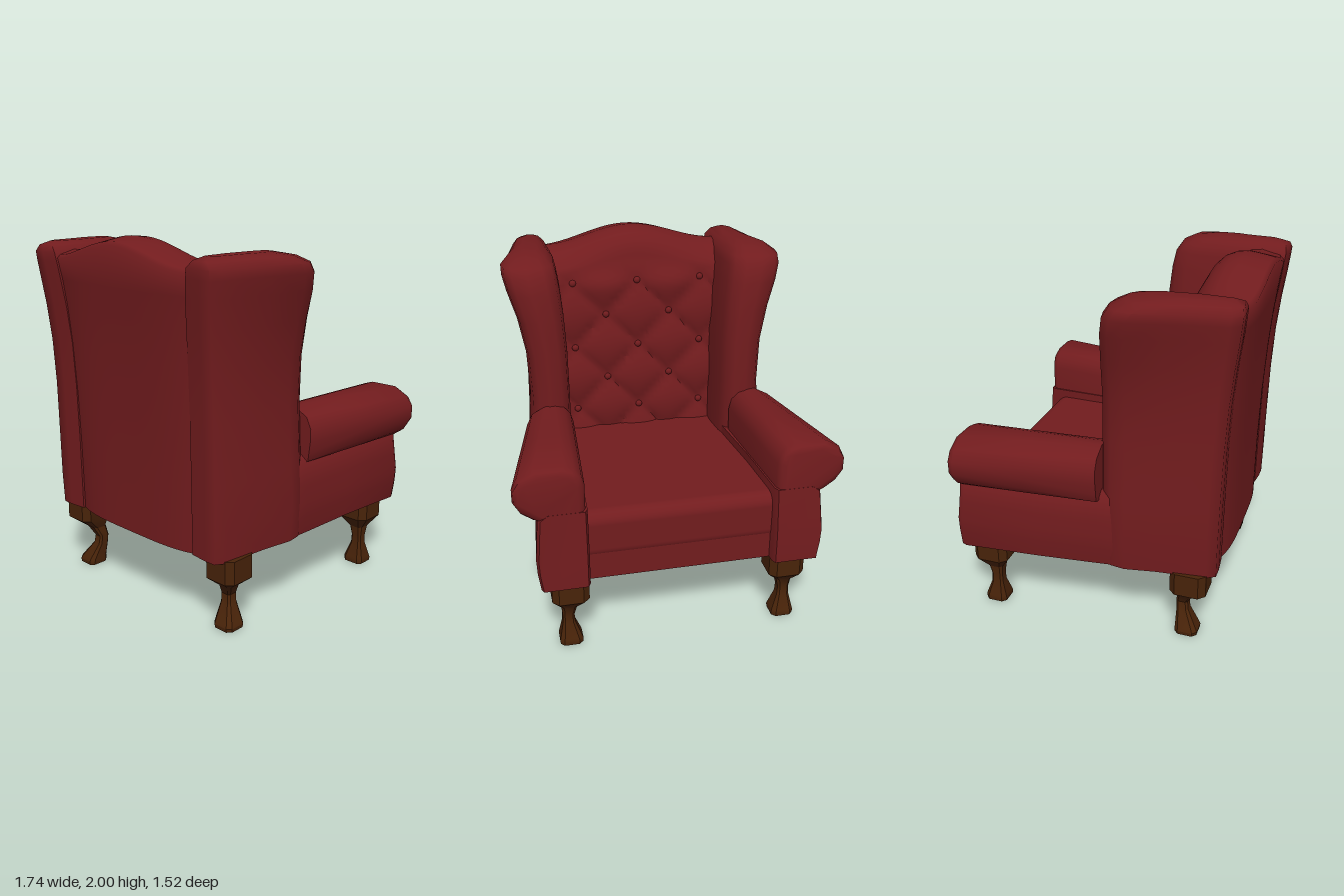
import * as THREE from 'three';
import { toCreasedNormals } from 'three/addons/utils/BufferGeometryUtils.js';
import { RoundedBoxGeometry } from 'three/addons/geometries/RoundedBoxGeometry.js';

const lerp = THREE.MathUtils.lerp, smoothstep = THREE.MathUtils.smoothstep;

// Closed solid through equal-length rings of [x, y, z]; winding is fixed by its signed volume
function loft(rings, crease = 1) {
  const n = rings[0].length, pos = rings.flat(2), idx = [];
  for (let r = 0; r < rings.length - 1; r++) {
    for (let i = 0; i < n; i++) {
      const a = r * n + i, b = r * n + (i + 1) % n;
      idx.push(a, b, a + n, b, b + n, a + n);
    }
  }
  // end caps
  const cap = (ring, start, flip) => {
    const pts = ring.map(p => new THREE.Vector3(...p));
    const normal = new THREE.Vector3();
    pts.forEach((p, i) => normal.add(p.clone().cross(pts[(i + 1) % n])));
    const k = ['x', 'y', 'z'].reduce((m, c) => Math.abs(normal[c]) > Math.abs(normal[m]) ? c : m, 'x');
    const [u, v] = { x: ['y', 'z'], y: ['z', 'x'], z: ['x', 'y'] }[k];
    const flat = pts.map(p => new THREE.Vector2(p[u], p[v]));
    const turned = THREE.ShapeUtils.area(flat) < 0;
    if (turned) flat.reverse();
    for (const f of THREE.ShapeUtils.triangulateShape(flat, [])) {
      const t = f.map(i => start + (turned ? n - 1 - i : i));
      if (turned !== flip) t.reverse();
      idx.push(...t);
    }
  };
  cap(rings[0], 0, true);
  cap(rings[rings.length - 1], (rings.length - 1) * n, false);
  let volume = 0;
  const at = i => new THREE.Vector3(pos[3 * i], pos[3 * i + 1], pos[3 * i + 2]);
  for (let i = 0; i < idx.length; i += 3) volume += at(idx[i]).dot(at(idx[i + 1]).cross(at(idx[i + 2])));
  if (volume < 0) idx.reverse();
  const g = new THREE.BufferGeometry();
  g.setAttribute('position', new THREE.Float32BufferAttribute(pos, 3));
  g.setIndex(idx);
  return toCreasedNormals(g, crease);
}

// Wing: horizontal sections running from the base up to the rounded top
function wingRings(s, dx) {
  // y, inner x, outer x at front, outer x at rear, front z, rear z
  const rows = [
    [0.42, 0.45, 0.705, 0.645, 0.03, 0.665], [0.6, 0.45, 0.715, 0.655, 0.03, 0.667],
    [0.83, 0.45, 0.7, 0.655, 0.03, 0.67], [1.15, 0.452, 0.674, 0.652, 0.025, 0.677],
    [1.4, 0.455, 0.684, 0.655, 0.03, 0.69], [1.6, 0.466, 0.722, 0.665, 0.035, 0.71],
    [1.75, 0.48, 0.768, 0.677, 0.047, 0.73], [1.84, 0.493, 0.789, 0.687, 0.065, 0.74],
    [1.89, 0.503, 0.789, 0.69, 0.1, 0.745], [1.925, 0.535, 0.74, 0.665, 0.17, 0.735],
    [1.945, 0.57, 0.66, 0.63, 0.28, 0.69],
  ];
  return rows.map(([y, xi, xf, xr, zf, zr]) => {
    const w = xf - xi;
    return [
      [xi, zr - 0.01], [lerp(xi, xr, 0.5), zr], [xr - 0.03, zr], [xr, zr - 0.05],
      [lerp(xr, xf, 0.5), lerp(zr, zf, 0.5)], [xf, zf + 0.15], [xf - 0.04 * w, zf + 0.07],
      [xf - 0.17 * w, zf + 0.02], [xf - 0.45 * w, zf], [xi + 0.25 * w, zf + 0.01],
      [xi + 0.07 * w, zf + 0.045], [xi, zf + 0.11], [xi - 0.012, zf + 0.25],
    ].map(([x, z]) => [s * x + dx, y, z]);
  });
}

// Rolled arm: flares outwards towards the front, with a softened end
function armRings(s) {
  return [[0.04, 0], [-0.35, 0], [-0.7, 0], [-0.727, 0.012], [-0.737, 0.035]].map(([z, e]) => {
    const t = (0.05 - z) / 0.78, xo = lerp(0.728, 0.878, t) - e, xi = lerp(0.465, 0.51, t) + e;
    return [
      [xi, 0.78], [xi, 1.0], [xi + 0.015, 1.055], [xi + 0.05, 1.095 - e], [xi + 0.1, 1.112 - e],
      [xo - 0.11, 1.112 - e], [xo - 0.03, 1.07 - e], [xo, 1.01], [xo, 0.94],
      [xo - lerp(0.008, 0.04, t), 0.87 + e], [xo - lerp(0.012, 0.1, t), 0.828 + e], [xi + 0.1, 0.78],
    ].map(([x, y]) => [s * x, y, z]);
  });
}

// Side panel below the arm, bulging at mid height and running flush into the wing
function sideRings(s, dx) {
  // z, outer x, end inset, forward bulge
  const rows = [[0.3, 0.65, 0, 0], [0.17, 0.7, 0, 0], [0.05, 0.712, 0, 0], [-0.3, 0.738, 0, 0],
    [-0.71, 0.774, 0, 0.022], [-0.738, 0.762, 0.012, 0.022]];
  return rows.map(([z, xo, e, out]) => {
    const xi = lerp(0.45, 0.5, (0.3 - z) / 1.04) + e, shift = dx * smoothstep(z, -0.4, 0.17);
    return [
      [xi, 0.42, z - out], [xi, 0.6, z - out], [xi, 0.86, z], [xo - 0.06, 0.86, z], [xo - 0.02, 0.83, z],
      [xo - 0.008, 0.7, z - out / 2], [xo, 0.6, z - out], [xo - 0.004, 0.52, z - out], [xo - 0.018, 0.42, z - out],
    ].map(([x, y, zz]) => [s * x + shift, y, zz]);
  });
}

// Leaning front of the backrest before tufting
const frontZ = y => lerp(0.372, 0.395, smoothstep(y, 0.9, 1.67)) + 0.055 * smoothstep(y, 1.66, 1.92);

// Tufted front; buttons sit where both diagonals cross
const tuft = { x: 0.19, y: 0.195, base: 0.935 };
function tuftZ(x, y) {
  const u = x / tuft.x, v = (y - tuft.base) / tuft.y;
  const pillow = Math.sqrt(Math.abs(Math.sin(Math.PI * (u + v) / 2) * Math.sin(Math.PI * (u - v) / 2)));
  const fade = smoothstep(y, 1.69, 1.8);
  return frontZ(y) - 0.04 * lerp(pillow, 0.5, fade);
}

// Backrest: upright sections swept across the width, with an arched top
function backRings(dx) {
  const rings = [];
  for (let i = 0; i <= 40; i++) {
    const u = i / 20 - 1;
    const top = 1.87 + 0.1 * (0.5 + 0.5 * Math.cos(Math.PI * u));
    const b = 0.045 * u ** 4;
    const p = [[0.42, 0.683 - b], [0.8, 0.685 - b], [1.1, 0.692 - b], [1.4, 0.708 - b], [1.6, 0.724 - b],
      [1.75, 0.742 - b], [top - 0.01, 0.76 - b], [top + 0.008, 0.74 - b], [top + 0.03, 0.6], [top + 0.024, 0.54],
      [top + 0.002, 0.49], [top - 0.035, 0.452]];
    const start = top - 0.08;
    for (let k = 0; k <= 36; k++) {
      const y = lerp(start, 0.74, k / 36);
      p.push([y, tuftZ(u * 0.49, y)]);
    }
    p.push([0.42, 0.4]);
    rings.push(p.map(([y, z]) => [u * lerp(0.46, 0.518, (y - 0.42) / 1.45) + dx, y, z]));
  }
  return rings;
}

// Cabriole leg: chamfered square sections; bx, bz shift the ankle
function legRings(cx, cz, bx, bz) {
  const rows = [[0.43, 0.1, 0], [0.3, 0.1, 0], [0.23, 0.043, 0.6], [0.17, 0.032, 1], [0.12, 0.034, 0.9],
    [0.035, 0.06, 0.3], [0.02, 0.064, 0.25], [0, 0.062, 0.25]];
  return rows.map(([y, h, t]) => {
    const c = h * 0.65, x = cx + bx * t, z = cz + bz * t;
    return [[h, c], [c, h], [-c, h], [-h, c], [-h, -c], [-c, -h], [c, -h], [h, -c]]
      .map(([a, b]) => [x + a, y, z + b]);
  });
}

export function createModel() {
  const chair = new THREE.Group();
  chair.name = 'wingArmchair';
  const leather = new THREE.MeshStandardMaterial({ name: 'dark red leather', color: 0x721c1e });
  const wood = new THREE.MeshStandardMaterial({ name: 'dark brown wood', color: 0x482309 });
  const add = (name, geometry, material, x = 0, y = 0, z = 0) => {
    const m = new THREE.Mesh(geometry, material);
    m.name = name;
    m.position.set(x, y, z);
    chair.add(m);
    return m;
  };
  const dx = 0.018; // the back sits slightly off centre

  // Mirrored sides and legs
  for (const [s, side] of [[1, 'left'], [-1, 'right']]) {
    add(side + 'Wing', loft(wingRings(s, dx), 1.2), leather);
    add(side + 'Arm', loft(armRings(s)), leather);
    add(side + 'SidePanel', loft(sideRings(s, dx)), leather);
    add(side + 'FrontLeg', loft(legRings(s * 0.602, -0.63, s * 0.012, 0.012), 0.5), wood);
    add(side + 'RearLeg', loft(legRings(s * 0.58 + dx, 0.52, -s * 0.05, -0.053), 0.5), wood);
  }

  // Base and seat
  add('seatBase', new THREE.BoxGeometry(1.04, 0.18, 1.32), leather, 0, 0.51, -0.03);
  add('seatCushion', new RoundedBoxGeometry(1.12, 0.28, 1.16, 5, 0.07), leather, 0, 0.672, -0.117);

  // Backrest with its buttons
  add('backrest', loft(backRings(dx)), leather);
  const button = new THREE.SphereGeometry(0.02, 12, 8);
  for (let row = 0; row < 5; row++) {
    const y = tuft.base + row * tuft.y;
    for (const i of row % 2 ? [-1, 1] : [-2, 0, 2]) {
      add('backButton', button, leather, i * tuft.x + dx, y, frontZ(y) - 0.01).scale.z = 0.7;
    }
  }
  return chair;
}
